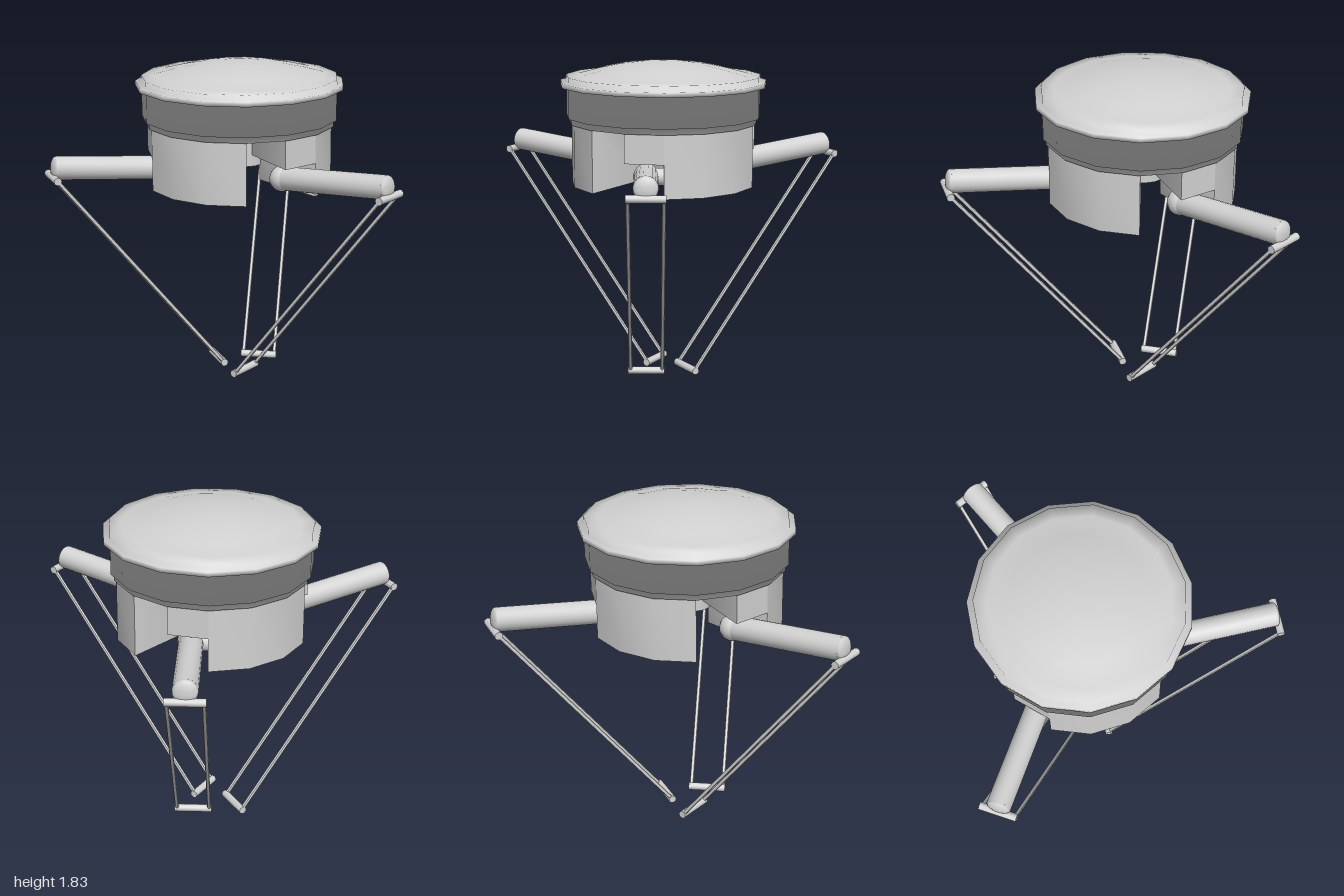
import * as THREE from 'three';
import { toCreasedNormals } from 'three/addons/utils/BufferGeometryUtils.js';

const STEP = Math.PI * 2 / 15; // the housing is a 15-sided drum
const BODY_R = 0.531;
const V = (x, y, z) => new THREE.Vector3(x, y, z);

export function createModel() {
  const grey = new THREE.MeshStandardMaterial({ color: 0xd2d2d2 });
  grey.name = 'machine grey';

  const model = new THREE.Group();
  model.name = 'deltaRobot';
  const robot = new THREE.Group();
  robot.name = 'robot';
  robot.position.set(-0.19, 0, -0.054);
  robot.rotation.y = THREE.MathUtils.degToRad(12.5);
  model.add(robot);

  function add(parent, name, geometry, crease) {
    const mesh = new THREE.Mesh(toCreasedNormals(geometry, crease), grey);
    mesh.name = name;
    parent.add(mesh);
    return mesh;
  }

  // Straight round bar between two points
  function rod(parent, name, a, b, radius, sides = 10) {
    const dir = b.clone().sub(a);
    const mesh = add(parent, name, new THREE.CylinderGeometry(radius, radius, dir.length(), sides), 0.9);
    mesh.position.copy(a).add(b).multiplyScalar(0.5);
    mesh.quaternion.setFromUnitVectors(V(0, 1, 0), dir.normalize());
    return mesh;
  }

  // Pie slice of the drum; its underside rises by "rise" toward the centre
  function slice(parent, name, first, last, bottom, top, rise) {
    const points = [];
    for (let i = first; i <= last; i++) {
      points.push(new THREE.Vector2(Math.cos(i * STEP) * BODY_R, Math.sin(i * STEP) * BODY_R));
    }
    for (const i of [last, first]) {
      points.push(new THREE.Vector2(Math.cos(i * STEP) * 0.14, Math.sin(i * STEP) * 0.14));
    }
    const geo = new THREE.ExtrudeGeometry(new THREE.Shape(points), { depth: top - bottom, bevelEnabled: false });
    geo.rotateX(Math.PI / 2).translate(0, top, 0);
    const p = geo.attributes.position;
    for (let i = 0; i < p.count; i++) {
      if (Math.hypot(p.getX(i), p.getZ(i)) < 0.2 && p.getY(i) < bottom + 0.01) p.setY(i, bottom + rise);
    }
    add(parent, name, geo, 1.45);
  }

  // Drum with stepped skirt, rim flange and domed lid, softly shaded throughout
  const profile = [
    [0, 1.48], [0.543, 1.48], [0.543, 1.515], [0.56, 1.515], [0.56, 1.688],
    [0.595, 1.69], [0.595, 1.716], [0.562, 1.72], [0.56, 1.748],
    [0.49, 1.753], [0.37, 1.785], [0.25, 1.81], [0.12, 1.825], [0, 1.83],
  ].map(([r, y]) => new THREE.Vector2(r, y));
  add(robot, 'housing', new THREE.LatheGeometry(profile, 15, Math.PI / 2), Math.PI);

  // Core between the pockets
  add(robot, 'centreHub', new THREE.CylinderGeometry(0.15, 0.15, 0.24, 15), 0.55).position.y = 1.37;

  // Three identical sides: body block, pocket overhang, arm and linkage
  for (let k = 0; k < 3; k++) {
    const side = new THREE.Group();
    side.name = 'armAssembly';
    side.rotation.y = k * Math.PI * 2 / 3;
    robot.add(side);

    slice(side, 'bodyBlock', 2, 5, 1.125, 1.485, 0.035);
    slice(side, 'pocketOverhang', 0, 1, 1.315, 1.485, 0);

    // Upper arm, running beside the radial line, with a ball root and rounded tip
    const lane = 0.096;
    const root = V(0.375, 1.225, lane);
    const tip = V(1.062, 1.287, lane);
    rod(side, 'shoulderShaft', V(0.375, 1.225, -0.04), root, 0.05, 16);
    add(side, 'shoulderBall', new THREE.SphereGeometry(0.073, 16, 12), 0.9).position.copy(root);
    const arm = rod(side, 'upperArm', root, tip, 0.067, 18);
    const cap = add(side, 'armTip', new THREE.SphereGeometry(0.067, 18, 12).scale(1, 0.4, 1), 1.2);
    cap.position.copy(tip);
    cap.quaternion.copy(arm.quaternion);

    // Parallel forearm rods between two cross bars
    const high = V(1.08, 1.235, lane);
    const low = V(0.106, 0.022, lane);
    const off = (p, z) => p.clone().add(V(0, 0, z));
    rod(side, 'elbowBar', off(high, -0.105), off(high, 0.105), 0.022, 12);
    rod(side, 'wristBar', off(low, -0.107), off(low, 0.107), 0.022, 12);
    for (const s of [-1, 1]) {
      rod(side, 'forearmRod', off(low, s * 0.093), off(high, s * 0.093), 0.011, 8);
    }
  }
  return model;
}
